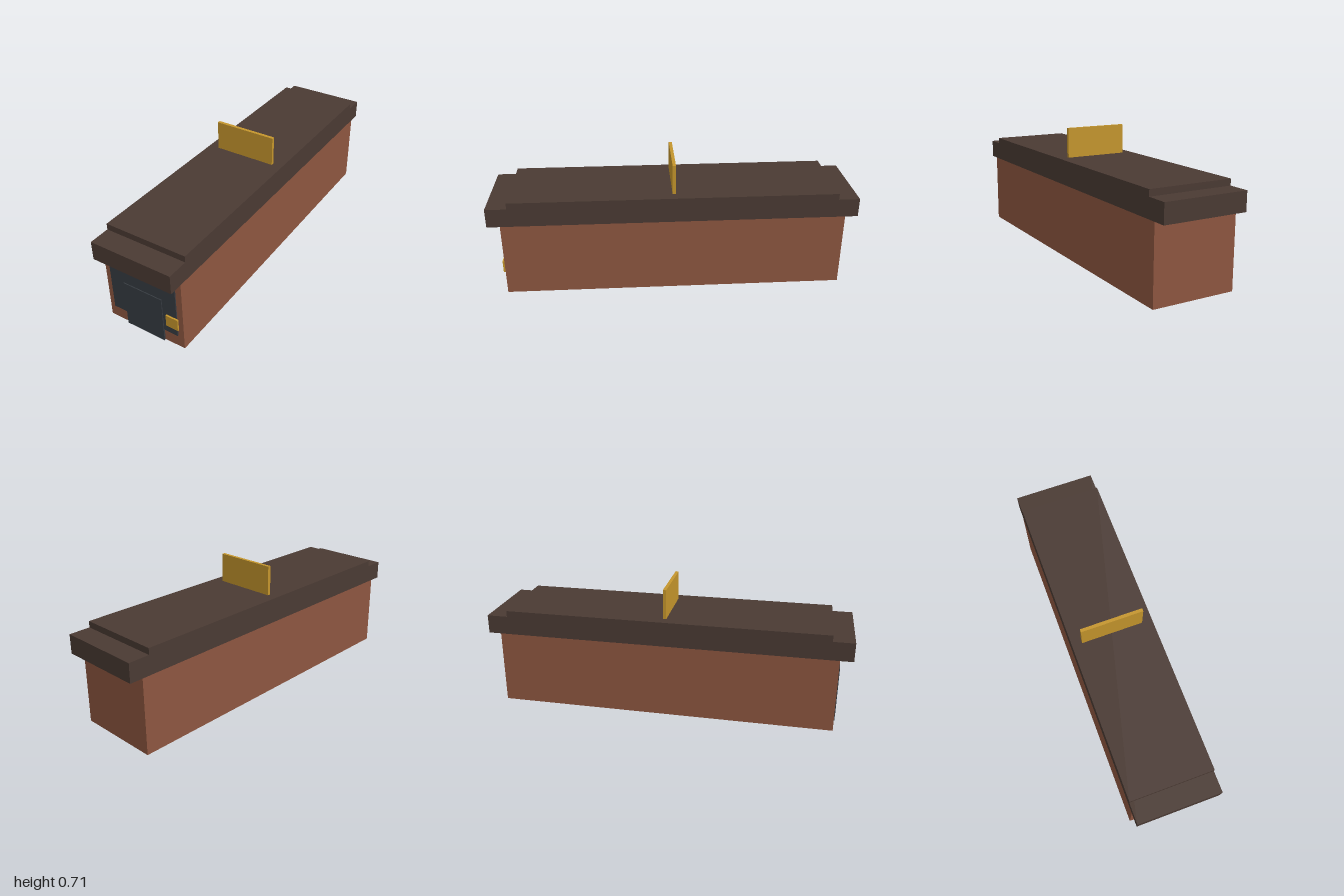
import * as THREE from 'three';

const material = (name, color) => {
  const m = new THREE.MeshStandardMaterial({ color });
  m.name = name;
  return m;
};

export function createModel() {
  const brick = material('brick', 0x8d5640);
  const roofing = material('dark roof', 0x4a3a33);
  const slate = material('slate', 0x363b41);
  const gold = material('gold', 0xc4952c);

  const model = new THREE.Group();
  model.name = 'longBuilding';

  // Box given by its lowest and highest corners
  const box = (name, mat, [x0, y0, z0], [x1, y1, z1]) => {
    const mesh = new THREE.Mesh(new THREE.BoxGeometry(x1 - x0, y1 - y0, z1 - z0), mat);
    mesh.position.set((x0 + x1) / 2, (y0 + y1) / 2, (z0 + z1) / 2);
    mesh.name = name;
    model.add(mesh);
  };

  // Walls and stepped flat roof
  box('walls', brick, [-0.231, 0, -0.93], [0.231, 0.41, 0.93]);
  box('roofSlab', roofing, [-0.231, 0.41, -1], [0.231, 0.513, 1]);
  box('roofCap', roofing, [-0.231, 0.513, -0.885], [0.231, 0.547, 0.885]);

  // Upright sign board across the roof
  box('signBoard', gold, [-0.174, 0.547, -0.009], [0.173, 0.71, 0.009]);

  // Front window panel, door and small plaque
  box('frontWindow', slate, [-0.199, 0.071, 0.93], [0.197, 0.36, 0.936]);
  box('frontDoor', slate, [-0.116, 0, 0.932], [0.115, 0.268, 0.941]);
  box('plaque', gold, [0.138, 0.118, 0.936], [0.208, 0.185, 0.945]);

  return model;
}
